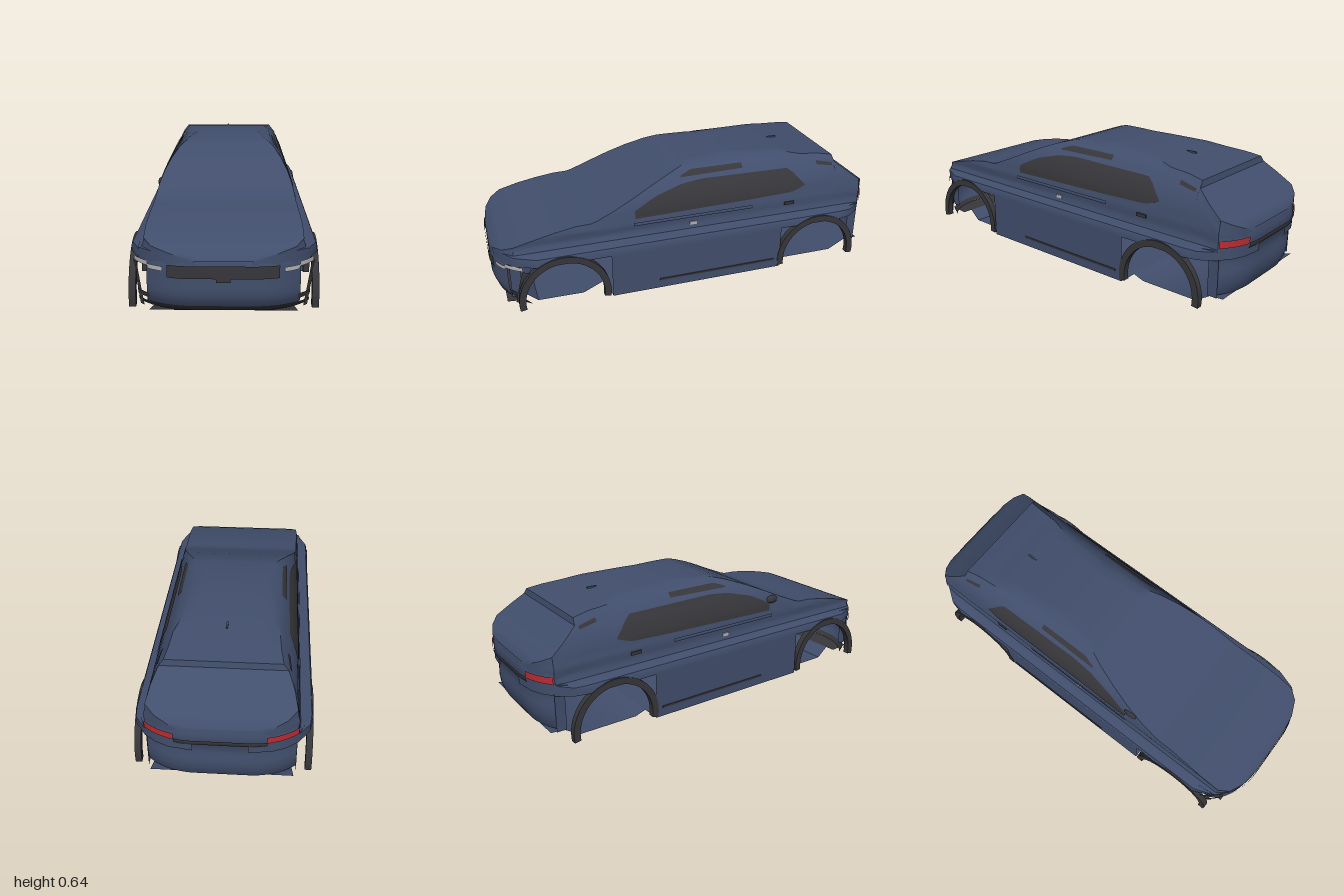
import * as THREE from 'three';
import { toCreasedNormals } from 'three/addons/utils/BufferGeometryUtils.js';

const mat = (name, color) => {
  const m = new THREE.MeshStandardMaterial({ color, side: THREE.DoubleSide });
  m.name = name;
  return m;
};

// piecewise linear lookup in a list of [key, value] with rising keys
function lookup(list, k) {
  if (k <= list[0][0]) return list[0][1];
  for (let i = 1; i < list.length; i++) {
    const [a, va] = list[i - 1], [b, vb] = list[i];
    if (k <= b) return va + (vb - va) * (k - a) / (b - a);
  }
  return list[list.length - 1][1];
}

// grid surface from a rule fn(i, j) -> [x, y, z]
function surface(nu, nv, fn) {
  const pos = [], idx = [];
  for (let i = 0; i <= nu; i++) for (let j = 0; j <= nv; j++) pos.push(...fn(i, j));
  for (let i = 0; i < nu; i++) for (let j = 0; j < nv; j++) {
    const a = i * (nv + 1) + j, b = a + nv + 1;
    idx.push(a, b, a + 1, b, b + 1, a + 1);
  }
  const g = new THREE.BufferGeometry();
  g.setAttribute('position', new THREE.Float32BufferAttribute(pos, 3));
  g.setIndex(idx);
  return toCreasedNormals(g, 0.6);
}

// centre-line height along the car, front to back
const ridge = [[1, .3], [.985, .33], [.95, .35], [.9, .37], [.8, .395], [.7, .415], [.6, .43], [.53, .432],
  [.5, .44], [.4, .482], [.3, .527], [.2, .57], [.1, .607], [.04, .625], [0, .632], [-.1, .634], [-.2, .64],
  [-.3, .635], [-.5, .63], [-.6, .612], [-.7, .605], [-.78, .592], [-.785, .562], [-.85, .512], [-.92, .46],
  [-.96, .435], [-.985, .41], [-1, .36]];
// half width of the body by height
const flank = [[.28, .4], [.305, .4], [.32, .393], [.328, .365], [.333, .342], [.36, .332], [.4, .336],
  [.43, .328], [.46, .325], [.5, .313], [.53, .3], [.57, .276], [.6, .252], [.62, .232], [.632, .205], [.642, .16]];
// bumper set-back by height
const frontDip = [[.07, -.05], [.1, -.02], [.15, 0], [.28, 0], [.33, -.015]];
const rearDip = [[.1, -.04], [.14, -.02], [.2, -.012], [.27, -.022], [.33, 0], [.38, 0], [.42, -.015]];

// rounded plan outline, as width from z and as z from width
const planX = z => { const t = Math.min(1, Math.max(0, (Math.abs(z) - .78) / .22)); return .12 + .28 * Math.sqrt(1 - t * t); };
const planZ = x => { const t = Math.min(1, Math.max(0, (Math.abs(x) - .12) / .28)); return .78 + .22 * Math.sqrt(1 - t * t); };

export function createModel() {
  const car = new THREE.Group();
  const paint = mat('blue paint', 0x414e6c), trim = mat('dark trim', 0x37373b),
    lamp = mat('pale lamp', 0xb4b4b4), red = mat('red lamp', 0xb92c32);
  const add = (name, geo, m) => {
    const mesh = new THREE.Mesh(geo, m);
    mesh.name = name;
    car.add(mesh);
    return mesh;
  };

  // hood, cabin, roof and tail as one loft
  const low = [.28, .305, .32, .328, .333], rise = 14, half = low.length + rise + 4;
  add('upperBody', surface(ridge.length - 1, half * 2, (i, j) => {
    const [z, h] = ridge[i], s = j <= half ? 1 : -1, k = j <= half ? j : half * 2 - j;
    const side = low.length + rise;
    const y = k < low.length ? Math.min(low[k], h)
      : Math.min(h, .333 + Math.max(0, h - .333) * Math.min(1, (k - low.length + 1) / rise));
    let x = Math.min(lookup(flank, y), planX(z));
    if (k >= side) x *= 1 - (k - side) / 4;
    return [s * x, y, z];
  }), paint);

  // patch lying on the front (dir 1) or rear (dir -1) bumper
  const bumperPatch = (name, dir, x0, x1, y0, y1, m, out = .006) =>
    add(name, surface(24, 10, (i, j) => {
      const x = x0 + (x1 - x0) * i / 24, y = y0 + (y1 - y0) * j / 10;
      return [x, y, dir * (planZ(x) + lookup(dir > 0 ? frontDip : rearDip, y) + out)];
    }), m);

  bumperPatch('frontBumper', 1, -.32, .32, .09, .33, paint, 0);
  bumperPatch('frontLip', 1, -.31, .31, .07, .1, trim, .001);
  bumperPatch('grille', 1, -.23, .23, .228, .282, trim);
  bumperPatch('grilleNotch', 1, -.03, .03, .213, .228, trim);
  bumperPatch('rearBumper', -1, -.33, .33, .1, .4, paint, 0);
  bumperPatch('rearBand', -1, -.2, .2, .315, .342, trim);

  // strip that follows the flank between two lines of [z, y]
  const flankPatch = (name, s, bottom, top, m, out = .004) => {
    const z0 = bottom[0][0], z1 = bottom[bottom.length - 1][0];
    return add(name, surface(30, 8, (i, j) => {
      const z = z0 + (z1 - z0) * i / 30, a = lookup(bottom, z), b = lookup(top, z);
      const y = a + (b - a) * j / 8;
      return [s * (Math.min(lookup(flank, y), planX(z)) + out), y, z];
    }), m);
  };

  for (const s of [1, -1]) {
    const n = s > 0 ? 'left' : 'right';
    const box = (name, w, h, d, x, y, z, m) =>
      add(n + name, new THREE.BoxGeometry(w, h, d), m).position.set(s * x, y, z);

    // door panel, sill strip and handles
    add(n + 'SidePanel', surface(1, 1, (i, j) => [s * .4, j ? .28 : .055, i ? .45 : -.445]), paint);
    box('SillStrip', .006, .01, .62, .401, .103, -.1, trim);
    box('FrontHandle', .008, .016, .036, .335, .358, .015, lamp);
    box('RearHandle', .008, .016, .055, .338, .387, -.51, trim);
    flankPatch(n + 'DoorMoulding', s, [[-.3, .392], [.32, .392]], [[-.3, .408], [.32, .408]], paint, .007);

    // side glass
    flankPatch(n + 'SideWindow', s,
      [[-.6, .47], [-.53, .445], [-.3, .437], [.31, .425]],
      [[-.6, .475], [-.52, .562], [-.05, .567], [.06, .557], [.2, .52], [.31, .465]], trim);
    flankPatch(n + 'QuarterWindow', s, [[-.77, .545], [-.68, .56]], [[-.77, .56], [-.68, .578]], trim);
    flankPatch(n + 'RoofWindow', s, [[-.27, .588], [.06, .583]], [[-.27, .61], [.0, .61], [.06, .59]], trim);

    // lamps and open corner frames
    bumperPatch(n + 'HeadLamp', 1, s * .25, s * .315, .252, .272, lamp);
    bumperPatch(n + 'HeadLampTip', 1, s * .315, s * .38, .264, .284, lamp);
    bumperPatch(n + 'TailLamp', -1, s * .2, s * .335, .337, .37, red);
    bumperPatch(n + 'CornerBar', 1, s * .31, s * .365, .115, .14, trim, 0);
    bumperPatch(n + 'CornerFoot', 1, s * .3, s * .365, .07, .095, trim, 0);
    add(n + 'CornerBlade', surface(6, 1, (i, j) => {
      const x = .335 + .035 * i / 6 + (j ? .018 : 0);
      return [s * x, .075 + .18 * i / 6, planZ(x) - .01];
    }), trim);
    for (const d of [1, -1])
      add(n + (d > 0 ? 'Front' : 'Rear') + 'BumperReturn', surface(1, 1, (i, j) =>
        [s * (d > 0 ? .32 : .33), j ? .3 : .1, d * (i ? .925 : .875)]), paint);

    // wheel arch trims
    for (const [z, name] of [[.68, 'FrontArch'], [-.655, 'RearArch']]) {
      const ring = new THREE.Shape();
      ring.absarc(0, 0, .222, -.15, Math.PI + .15, false);
      ring.absarc(0, 0, .19, Math.PI + .15, -.15, true);
      const g = new THREE.ExtrudeGeometry(ring, { depth: .03, bevelEnabled: false, curveSegments: 24 });
      const arch = add(n + name, g, trim);
      arch.rotation.y = Math.PI / 2;
      arch.position.set(s > 0 ? .373 : -.403, .095, z);
    }
  }

  // single door mirror on the right
  const mirror = add('doorMirror', new THREE.SphereGeometry(1, 14, 10), trim);
  mirror.scale.set(.018, .022, .04);
  mirror.position.set(-.313, .476, .335);

  // floor trays, each a row of [z, y, half width]
  const tray = (name, rows, m) => add(name, surface(rows.length - 1, 1, (i, j) =>
    [(j ? 1 : -1) * rows[i][2], rows[i][1], rows[i][0]]), m);
  tray('floor', [[.45, .055, .4], [-.445, .055, .4]], paint);
  tray('frontUndertray', [[.95, .07, .31], [.86, .055, .3]], trim);
  tray('frontFloor', [[.86, .055, .245], [.8, .003, .245], [.57, 0, .245], [.45, .055, .245]], paint);
  tray('rearFloor', [[-.445, .055, .3], [-.5, .036, .3], [-.8, .036, .3], [-.88, .09, .31], [-.95, .1, .32]], paint);

  // roof antenna fin
  const fin = add('roofFin', new THREE.BoxGeometry(.008, .008, .05), paint);
  fin.position.set(0, .625, -.55);
  return car;
}
